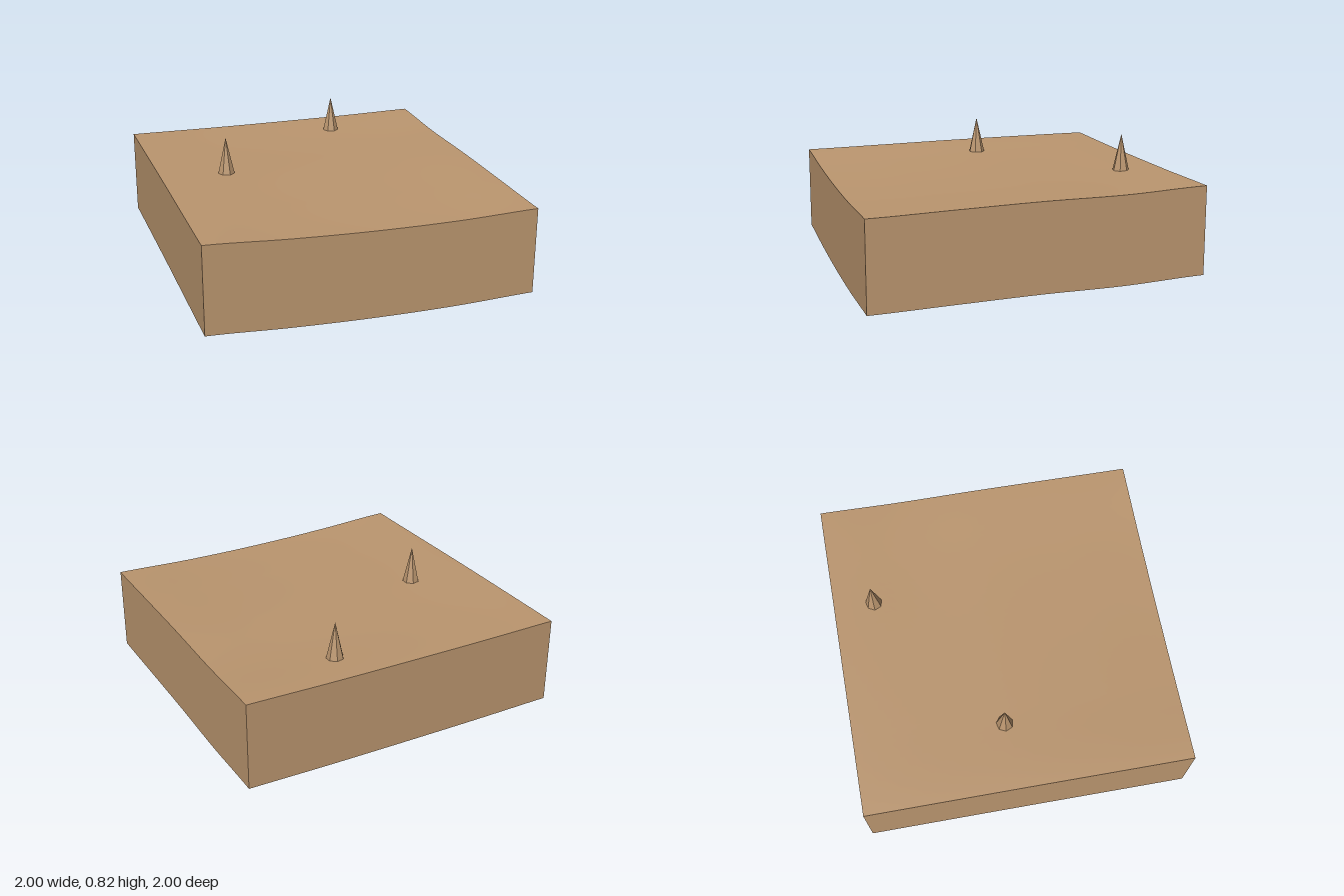
import * as THREE from 'three';
import { ParametricGeometry } from 'three/addons/geometries/ParametricGeometry.js';

const SKIRT = 0.535;

// Smooth height curve through evenly spaced samples, t from 0 to 1
function heightCurve(samples) {
  const curve = new THREE.SplineCurve(samples.map((h, i) => new THREE.Vector2(i, h)));
  return (t) => curve.getPoint(t).y;
}

// Edge heights: back and front run from -x to +x, the sides from back to front
const back = heightCurve([0.61, 0.603, 0.6, 0.6, 0.605]);
const front = heightCurve([0.585, 0.556, 0.538, 0.5345, 0.547]);
const minusX = heightCurve([0.61, 0.607, 0.602, 0.593, 0.585]);
const plusX = heightCurve([0.605, 0.582, 0.576, 0.562, 0.547]);

// Terrain height blended from the four edges
function height(x, z) {
  const s = (x + 1) / 2, t = (z + 1) / 2;
  const edges = (1 - t) * back(s) + t * front(s) + (1 - s) * minusX(t) + s * plusX(t);
  const corners = (1 - t) * ((1 - s) * back(0) + s * back(1)) + t * ((1 - s) * front(0) + s * front(1));
  return edges - corners;
}

export function createModel() {
  const model = new THREE.Group();
  model.name = 'terrainTile';
  const sand = new THREE.MeshStandardMaterial({ color: 0xbb966f, side: THREE.DoubleSide });
  const add = (name, geometry) => {
    const mesh = new THREE.Mesh(geometry, sand);
    mesh.name = name;
    model.add(mesh);
    return mesh;
  };

  // Gently rolling ground
  add('ground', new ParametricGeometry((u, v, p) => {
    const x = v * 2 - 1, z = u * 2 - 1;
    p.set(x, height(x, z), z);
  }, 32, 32));

  // Four skirt walls of constant depth, open underneath
  const corners = [[-1, 1], [1, 1], [1, -1], [-1, -1]];
  ['frontWall', 'leftWall', 'backWall', 'rightWall'].forEach((name, i) => {
    const [ax, az] = corners[i], [bx, bz] = corners[(i + 1) % 4];
    add(name, new ParametricGeometry((u, v, p) => {
      const x = ax + (bx - ax) * u, z = az + (bz - az) * u;
      p.set(x, height(x, z) - SKIRT * (1 - v), z);
    }, 32, 1));
  });

  // Seven-sided faceted spikes
  for (const [x, z] of [[-0.585, -0.083], [0.333, -0.75]]) {
    const cone = new THREE.ConeGeometry(0.052, 0.227, 7).toNonIndexed();
    cone.computeVertexNormals();
    const spike = add('spike', cone);
    spike.rotation.y = -Math.PI / 2;
    spike.position.set(x, 0.588 + 0.1135, z);
  }
  return model;
}
